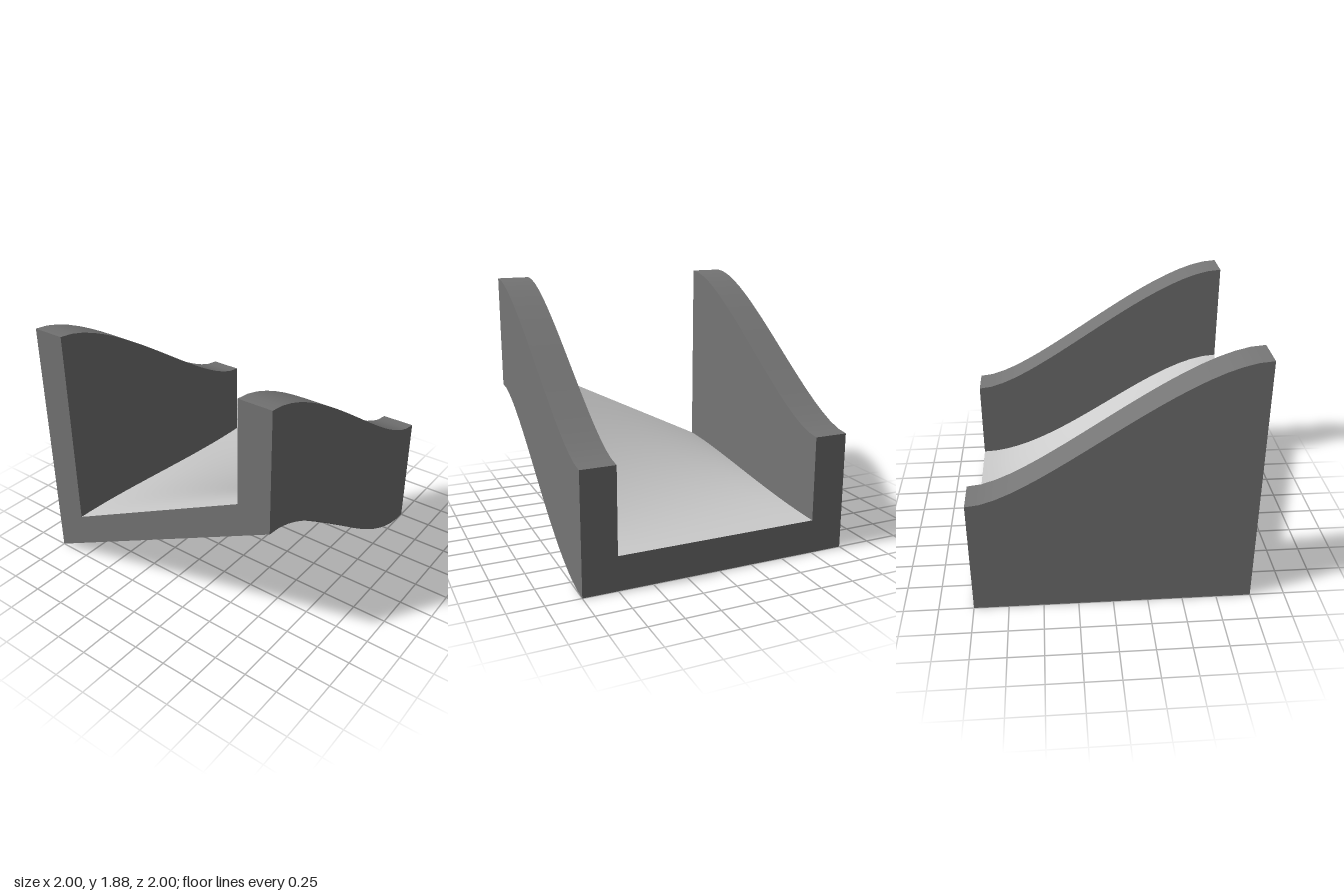
import * as THREE from 'three';

const ROWS = 20, COLS = 8;

// Ease from 0 at the back (z = -1) to 1 at the front (z = 1): a cubic Bezier
// with horizontal handles of the given lengths, solved for z by bisection.
function ease(z, frontHandle, backHandle) {
  let lo = 0, hi = 1;
  for (let i = 0; i < 30; i++) {
    const t = (lo + hi) / 2, s = 1 - t;
    const bz = s ** 3 + 3 * s * s * t * (1 - frontHandle) + 3 * s * t * t * (backHandle - 1) - t ** 3;
    if (bz > z) lo = t; else hi = t;
  }
  const s = 1 - lo;
  return s * s * (3 - 2 * s);
}

// Channel cross-section at z, counter-clockwise seen from the front
function section(z) {
  const rise = ease(z, 0.55, 0.67);
  const top = 0.875 + ease(z, 0.55, 0.45);
  const under = (x) => rise * (x + 1) / 2;
  const floor = (x) => under(x) + 0.25;
  return [
    [-1, under(-1)], [1, under(1)], [1, top], [0.75, top],
    [0.75, floor(0.75)], [-0.75, floor(-0.75)], [-0.75, top], [-1, top],
  ].map(([x, y]) => new THREE.Vector2(x, y));
}

// Smooth surface swept along z by one edge of the cross-section
function sweptEdge(sections, edge) {
  const pos = [], index = [];
  sections.forEach(({ z, pts }, r) => {
    const a = pts[edge], b = pts[(edge + 1) % pts.length];
    for (let c = 0; c <= COLS; c++) {
      const p = a.clone().lerp(b, c / COLS);
      pos.push(p.x, p.y, z);
      if (r < ROWS && c < COLS) {
        const i = r * (COLS + 1) + c, j = i + COLS + 1;
        index.push(i, i + 1, j, i + 1, j + 1, j);
      }
    }
  });
  const geo = new THREE.BufferGeometry();
  geo.setAttribute('position', new THREE.Float32BufferAttribute(pos, 3));
  geo.setIndex(index);
  geo.computeVertexNormals();
  return geo;
}

// Flat end of the channel
function endCap({ z, pts }, back) {
  const geo = new THREE.ShapeGeometry(new THREE.Shape(pts));
  if (back) geo.setIndex([...geo.index.array].reverse());
  geo.computeVertexNormals();
  return geo.translate(0, 0, z);
}

export function createModel() {
  const group = new THREE.Group();
  group.name = 'twistedRampChannel';
  const shellMaterial = new THREE.MeshStandardMaterial({ color: 0x757575 });
  const floorMaterial = new THREE.MeshStandardMaterial({ color: 0xcccccc });
  const add = (name, geo, material = shellMaterial) => {
    const mesh = new THREE.Mesh(geo, material);
    mesh.name = name;
    group.add(mesh);
  };

  const sections = Array.from({ length: ROWS + 1 }, (_, i) => {
    const z = -1 + 2 * i / ROWS;
    return { z, pts: section(z) };
  });

  // Long surfaces, one per edge of the cross-section; only the floor is light
  ['underside', 'leftWallOuter', 'leftWallTop', 'leftWallInner',
    'rampFloor', 'rightWallInner', 'rightWallTop', 'rightWallOuter',
  ].forEach((name, edge) => add(name, sweptEdge(sections, edge),
    name === 'rampFloor' ? floorMaterial : shellMaterial));

  // Ends
  add('frontEnd', endCap(sections[ROWS], false));
  add('backEnd', endCap(sections[0], true));
  return group;
}
